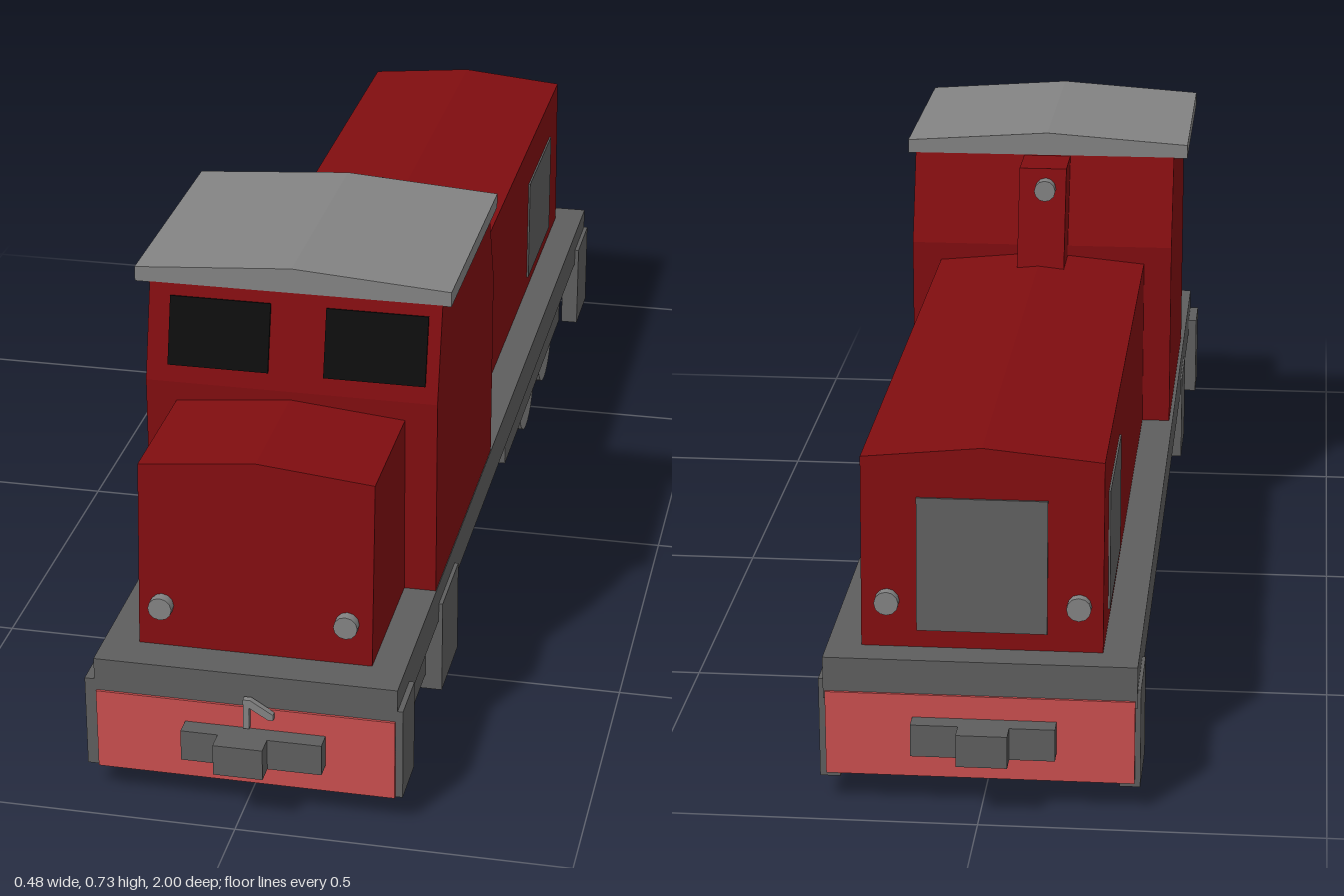
import * as THREE from 'three';

const material = (name, color) => {
  const m = new THREE.MeshStandardMaterial({ color });
  m.name = name;
  return m;
};

export function createModel() {
  const model = new THREE.Group();
  model.name = 'locomotive';
  const red = material('body red', 0x800d10);
  const beamRed = material('beam red', 0xc94e4e);
  const dark = material('chassis grey', 0x5e5e5e);
  const light = material('light grey', 0x838383);
  const black = material('window black', 0x0d0d0d);

  const add = (name, geo, mat) => {
    const m = new THREE.Mesh(geo, mat);
    m.name = name;
    model.add(m);
    return m;
  };
  // box given by its limits on each axis
  const box = (name, mat, x0, x1, y0, y1, z0, z1) => add(name,
    new THREE.BoxGeometry(x1 - x0, y1 - y0, z1 - z0)
      .translate((x0 + x1) / 2, (y0 + y1) / 2, (z0 + z1) / 2), mat);
  const extrude = (points, depth) => new THREE.ExtrudeGeometry(
    new THREE.Shape(points.map(p => new THREE.Vector2(...p))), { depth, bevelEnabled: false });
  // (z, y) side profile extruded across x
  const sideProfile = (points, x0, x1) =>
    extrude(points, x1 - x0).rotateY(-Math.PI / 2).translate(x1, 0, 0);
  // gabled section running along z
  const gable = (x0, x1, y0, yEdge, yPeak, z0, z1) => extrude(
    [[x0, y0], [x1, y0], [x1, yEdge], [(x0 + x1) / 2, yPeak], [x0, yEdge]], z1 - z0).translate(0, 0, z0);

  // hoods: the outer end leans inward as it rises
  const hood = (name, zInner, zOuter, lean) => {
    const geo = gable(-0.172, 0.18, 0.225, 0.51, 0.527, Math.min(zInner, zOuter), Math.max(zInner, zOuter));
    const p = geo.attributes.position;
    for (let i = 0; i < p.count; i++) {
      if (Math.abs(p.getZ(i) - zOuter) < 1e-4) p.setZ(i, zOuter + lean * (p.getY(i) - 0.225));
    }
    geo.computeVertexNormals();
    add(name, geo, red);
  };
  hood('frontHood', 0.62, 0.877, -0.075);
  hood('rearHood', 0.16, -0.888, 0.065);

  // cab, roof and lamp housing
  add('cab', sideProfile([[0.144, 0.195], [0.636, 0.195], [0.636, 0.54],
    [0.6, 0.686], [0.2, 0.686], [0.144, 0.54]], -0.219, 0.229), red);
  add('roof', gable(-0.242, 0.242, 0.685, 0.708, 0.725, 0.2, 0.6), light);
  add('lampHousing', sideProfile([[0.25, 0.515], [0.055, 0.515], [0.11, 0.685], [0.25, 0.685]], -0.04, 0.04), red);

  // windscreens on the sloping cab front
  for (const x of [-0.108, 0.132]) {
    const w = add('windscreen', new THREE.BoxGeometry(0.155, 0.106, 0.008), black);
    w.position.set(x, 0.617, 0.617);
    w.rotation.x = -0.243;
  }

  // grilles on hood sides and rear end
  box('leftGrille', dark, 0.178, 0.183, 0.25, 0.435, -0.78, -0.53);
  box('rightGrille', dark, -0.175, -0.17, 0.25, 0.435, -0.78, -0.53);
  const rearGrille = add('rearGrille', new THREE.BoxGeometry(0.19, 0.2, 0.006), dark);
  rearGrille.position.set(0.004, 0.352, -0.881);
  rearGrille.rotation.x = 0.065;

  // lamps
  const lamp = (x, y, z) => add('lamp',
    new THREE.CylinderGeometry(0.018, 0.018, 0.03, 12).rotateX(Math.PI / 2).translate(x, y, z), light);
  for (const x of [-0.137, 0.142]) {
    lamp(x, 0.29, 0.872);
    lamp(x, 0.295, -0.882);
  }
  lamp(-0.005, 0.652, 0.098);

  // frame, tank and buffer beams
  box('frame', dark, -0.225, 0.23, 0.162, 0.226, -0.938, 0.938);
  box('tank', dark, -0.2, 0.205, 0.115, 0.165, -0.178, 0.28);
  for (const s of [-1, 1]) {
    const z = s * 0.931;
    box('bufferBeam', dark, -0.222, 0.227, 0.046, 0.165, z - 0.008, z + 0.008);
    box('beamPaint', beamRed, -0.222, 0.227, 0.046, 0.174, s * 0.939 - 0.003, s * 0.939 + 0.003);
    // coupler
    const c = s > 0 ? 0.006 : -0.006;
    box('couplerBar', dark, c - 0.093 * 1 - (s < 0 ? 0.01 : 0), c + 0.106 + (s > 0 ? 0.012 : 0),
      0.09, 0.139, Math.min(s * 0.938, s * 0.97), Math.max(s * 0.938, s * 0.97));
    box('couplerHead', dark, c - 0.037, c + 0.037, 0.09, 0.139,
      Math.min(s * 0.96, s), Math.max(s * 0.96, s));
  }

  // coupling hook
  add('hook', extrude([[0.003, 0.143], [0.012, 0.143], [0.012, 0.178], [0.04, 0.161],
    [0.048, 0.161], [0.048, 0.17], [0.014, 0.191], [0.003, 0.191]], 0.01).translate(0, 0, 0.941), light);

  // corner and cab steps
  box('frontLeftStep', dark, 0.207, 0.238, 0.046, 0.191, 0.85, 0.937);
  box('frontRightStep', dark, -0.24, -0.207, 0.046, 0.191, 0.85, 0.937);
  box('rearLeftStep', dark, 0.207, 0.237, 0.038, 0.191, -0.935, -0.815);
  box('rearRightStep', dark, -0.23, -0.2, 0.038, 0.191, -0.935, -0.815);
  box('leftCabStep', dark, 0.2, 0.236, 0.04, 0.192, 0.48, 0.615);
  box('rightCabStep', dark, -0.228, -0.2, 0.04, 0.192, 0.48, 0.615);

  // bogies and wheels
  box('frontBogie', dark, -0.205, 0.21, 0.065, 0.165, 0.375, 0.845);
  box('rearBogie', dark, -0.205, 0.21, 0.065, 0.165, -0.76, -0.128);
  for (const z of [0.73, 0.52, -0.42, -0.635]) {
    for (const x of [-0.188, 0.194]) {
      add('wheel', new THREE.CylinderGeometry(0.086, 0.086, 0.016, 32)
        .rotateZ(Math.PI / 2).translate(x, 0.086, z), light);
    }
  }
  return model;
}
